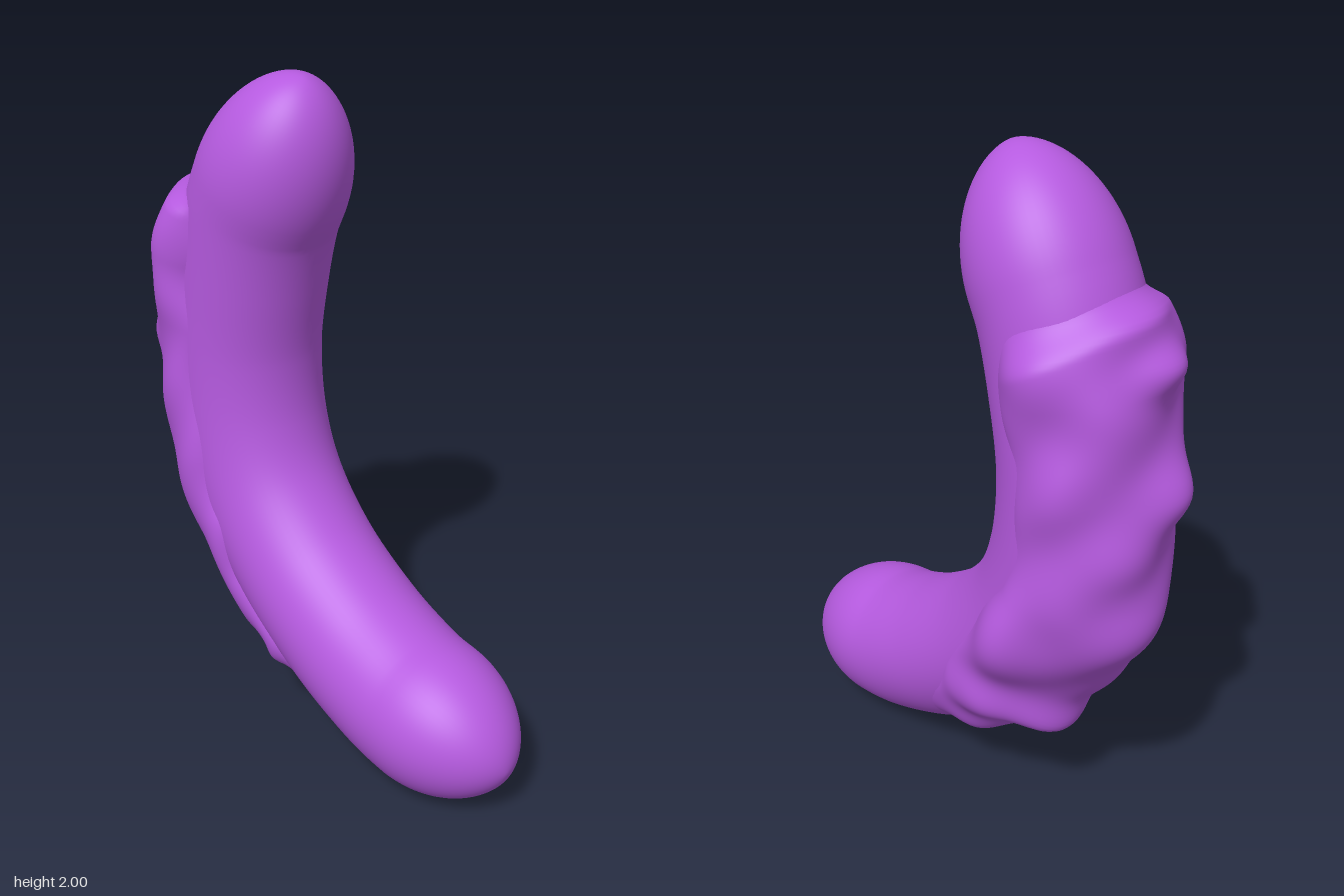
import * as THREE from 'three';
import { mergeVertices } from 'three/addons/utils/BufferGeometryUtils.js';

const R = 0.225, ZC = 0.017, CAP_TOP = 0.36, CAP_END = 0.32;
const RAD = Math.PI / 180;

// Centre line from the upper end to the lower end
const spine = new THREE.CatmullRomCurve3([
  [-0.295, 1.668], [-0.335, 1.585], [-0.385, 1.4], [-0.424, 1.15], [-0.402, 0.9], [-0.32, 0.69],
  [-0.15, 0.49], [0.08, 0.335], [0.24, 0.264], [0.33, 0.236], [0.393, 0.226],
].map(([x, y]) => new THREE.Vector3(x, y, ZC)));

// Point at distance r from the spine; phi 0 is the outer curve, +90 degrees the front
function around(u, phi, r, shift = 0) {
  const t = spine.getTangentAt(u);
  const p = spine.getPointAt(u).addScaledVector(t, shift);
  p.x += t.y * Math.cos(phi) * r;
  p.y -= t.x * Math.cos(phi) * r;
  p.z += Math.sin(phi) * r;
  return p;
}

// Smooth surface from a rule (a, b) -> point, both running 0..1
function surface(rule, na, nb) {
  const geo = new THREE.PlaneGeometry(1, 1, na, nb);
  const pos = geo.attributes.position, uv = geo.attributes.uv;
  for (let i = 0; i < pos.count; i++) {
    const p = rule(uv.getX(i), uv.getY(i));
    pos.setXYZ(i, p.x, p.y, p.z);
  }
  geo.deleteAttribute('uv');
  geo.deleteAttribute('normal');
  const merged = mergeVertices(geo, 1e-5);
  merged.computeVertexNormals();
  return merged;
}

// Round bar with long, slightly pointed domed ends
const dome = (k) => R * Math.max(0, Math.cos(k)) ** 1.15;
function bodyPoint(a, b) {
  const phi = -a * 2 * Math.PI, c = 0.2;
  if (b < c) {
    const k = (1 - b / c) * Math.PI / 2;
    return around(0, phi, dome(k), -CAP_TOP * Math.sin(k));
  }
  if (b > 1 - c) {
    const k = (b - 1 + c) / c * Math.PI / 2;
    return around(1, phi, dome(k), CAP_END * Math.sin(k));
  }
  return around((b - c) / (1 - 2 * c), phi, R);
}

// Crust edge angles along its length, front and back
const FRONT = [72, 82, 90, 95, 95, 88, 70, 65, 50];
const BACK = [92, 104, 100, 95, 98, 108, 100, 80, 50];
function along(list, t) {
  const k = Math.min(t * (list.length - 1), list.length - 1.001), i = Math.floor(k);
  return THREE.MathUtils.lerp(list[i], list[i + 1], THREE.MathUtils.smoothstep(k - i, 0, 1));
}

// Lumps: place on the spine, angle, height, length, angular width
const LUMPS = [
  [0.07, 8, 0.03, 0.035, 30], [0.13, 14, 0.055, 0.03, 22], [0.14, 62, 0.055, 0.07, 20],
  [0.09, -72, 0.045, 0.06, 26], [0.16, -30, 0.03, 0.05, 22], [0.29, 20, 0.045, 0.035, 22],
  [0.27, -60, 0.015, 0.06, 20], [0.36, -12, 0.02, 0.04, 24], [0.46, 0, 0.055, 0.06, 35],
  [0.52, -82, 0.07, 0.07, 24], [0.44, -45, 0.02, 0.05, 20], [0.55, 5, 0.02, 0.04, 25],
  [0.635, -8, 0.065, 0.028, 28], [0.66, -55, 0.03, 0.04, 20], [0.7, 15, 0.03, 0.025, 20],
  [0.77, 40, 0.035, 0.02, 16], [0.76, -30, 0.03, 0.03, 20],
];
function crustPoint(a, b) {
  const u = THREE.MathUtils.lerp(0.035, 0.86, b);
  const wobble = 2 * Math.sin(b * 31);
  const deg = THREE.MathUtils.lerp(along(FRONT, b) + wobble, -along(BACK, b) + wobble, a);
  // Thinner toward the back flank
  let h = 0.026 + 0.014 * Math.cos(deg * RAD) + 0.01 * Math.sin(deg * RAD)
    + 0.006 * Math.sin(u * 45 + deg * 0.07);
  for (const [lu, ld, lh, su, sd] of LUMPS) {
    h += lh * Math.exp(-(((u - lu) / su) ** 2) - ((deg - ld) / sd) ** 2);
  }
  // Fade to just under the bar at every edge, steepest at the upper front
  const side = 1 - Math.abs(2 * a - 1) ** 8;
  const ends = Math.min(1, b / (0.035 + 0.08 * a * a)) * Math.min(1, (1 - b) / 0.2);
  const fade = side * THREE.MathUtils.smoothstep(ends, 0, 1);
  return around(u, deg * RAD, R - 0.008 + (h + 0.005) * fade);
}

export function createModel() {
  const group = new THREE.Group();
  group.name = 'curvedBar';
  const material = new THREE.MeshStandardMaterial({ color: 0xb55adf });
  const crustMaterial = material.clone();
  crustMaterial.side = THREE.DoubleSide;

  const body = new THREE.Mesh(surface(bodyPoint, 64, 120), material);
  body.name = 'body';
  const crust = new THREE.Mesh(surface(crustPoint, 70, 150), crustMaterial);
  crust.name = 'lumpyCrust';
  group.add(body, crust);
  return group;
}
